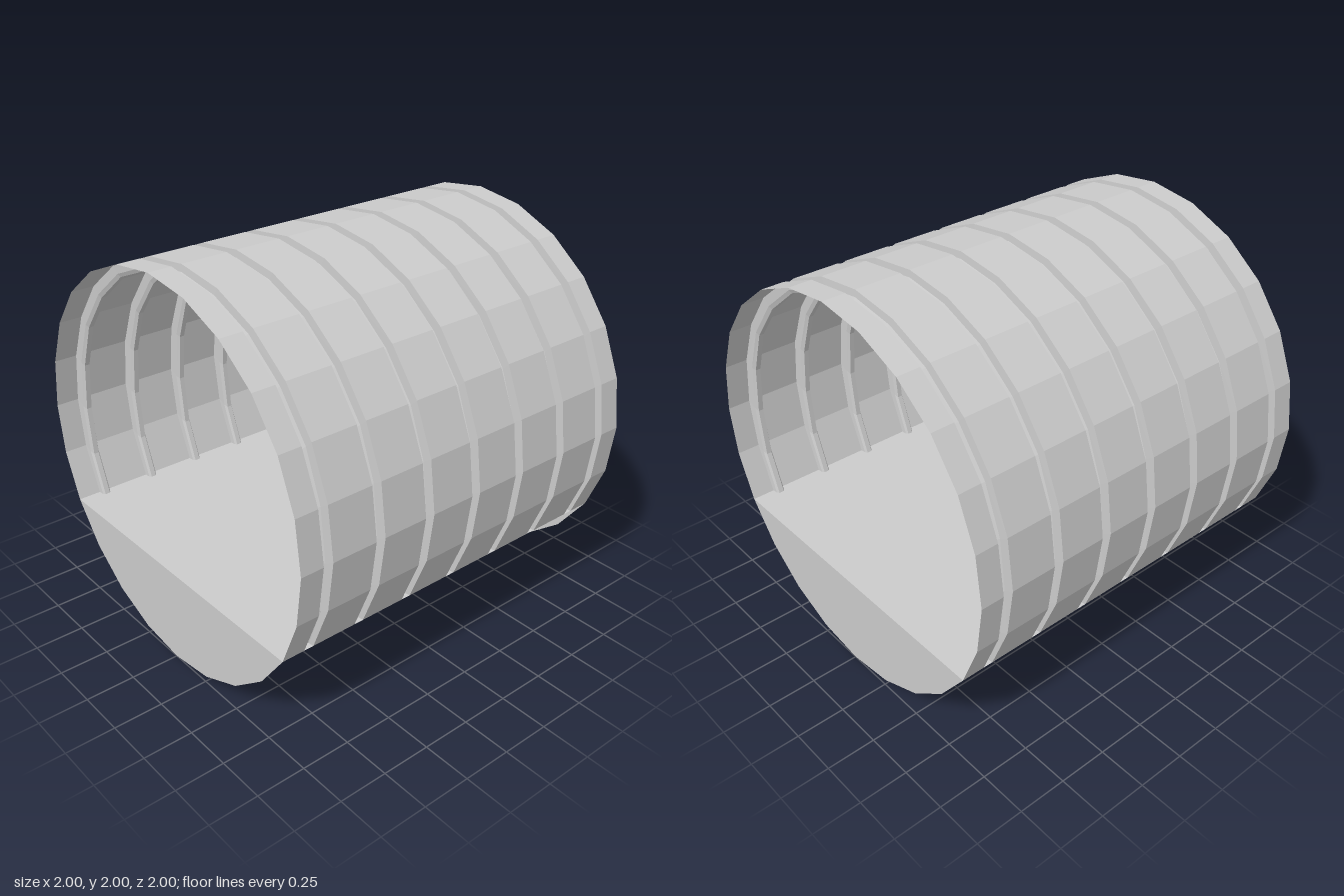
import * as THREE from 'three';

const material = new THREE.MeshStandardMaterial({ color: 0xcccccc, flatShading: true, side: THREE.DoubleSide });
const FLOOR_Y = 0.5;
const SIDES = 24;

// Point on the 24-sided tunnel section, angle index counted from the top towards +x
function sectionPoint(i) {
  const a = (i / SIDES) * Math.PI * 2;
  return [Math.sin(a), 1 + Math.cos(a)];
}

// Groove bottom for each section corner, from the crown down to the floor
const GROOVE = [
  [0, 1.95], [0.23, 1.915], [0.46, 1.82], [0.66, 1.66], [0.82, 1.455],
  [0.905, 1.22], [0.932, 0.965], [0.905, 0.71], [0.825, FLOOR_Y],
];

// Lengthwise profile: [z, groove depth 0..1] with seven evenly spaced grooves
function lengthProfile() {
  const rows = [[-1, 0]];
  for (let k = -3; k <= 3; k++) {
    const c = (k * 2) / 7;
    rows.push([c - 0.025, 0], [c - 0.022, 0.7], [c - 0.013, 1]);
    rows.push([c + 0.013, 1], [c + 0.022, 0.7], [c + 0.025, 0]);
  }
  rows.push([1, 0]);
  return rows;
}

// Thin arched wall, pressed inwards at the grooves
function wallGeometry() {
  const positions = [], index = [];
  const rows = lengthProfile();
  const cols = 17;
  for (const [z, depth] of rows) {
    for (let i = -8; i <= 8; i++) {
      const [ox, oy] = sectionPoint(i);
      const [gx, gy] = GROOVE[Math.abs(i)];
      positions.push(
        THREE.MathUtils.lerp(ox, Math.sign(i) * gx, depth),
        THREE.MathUtils.lerp(oy, gy, depth),
        z
      );
    }
  }
  for (let r = 0; r < rows.length - 1; r++) {
    for (let c = 0; c < cols - 1; c++) {
      const a = r * cols + c, b = a + 1, d = a + cols, e = d + 1;
      index.push(a, d, b, b, d, e);
    }
  }
  const geometry = new THREE.BufferGeometry();
  geometry.setAttribute('position', new THREE.Float32BufferAttribute(positions, 3));
  geometry.setIndex(index);
  geometry.computeVertexNormals();
  return geometry;
}

export function createModel() {
  const group = new THREE.Group();
  const add = (name, geometry) => {
    const mesh = new THREE.Mesh(geometry, material);
    mesh.name = name;
    group.add(mesh);
    return mesh;
  };

  add('tunnelWall', wallGeometry());

  // Flat floor between the feet of the arch
  const floor = add('floor', new THREE.PlaneGeometry(2 * sectionPoint(8)[0], 2));
  floor.rotation.x = -Math.PI / 2;
  floor.position.y = FLOOR_Y;

  // End plates closing the section below the floor
  const lower = [];
  for (let i = 16; i >= 8; i--) lower.push(new THREE.Vector2(...sectionPoint(i)));
  const plate = new THREE.ShapeGeometry(new THREE.Shape(lower));
  add('frontEndPlate', plate).position.z = 1;
  const back = add('backEndPlate', plate);
  back.position.z = -1;
  back.rotation.y = Math.PI;

  return group;
}
